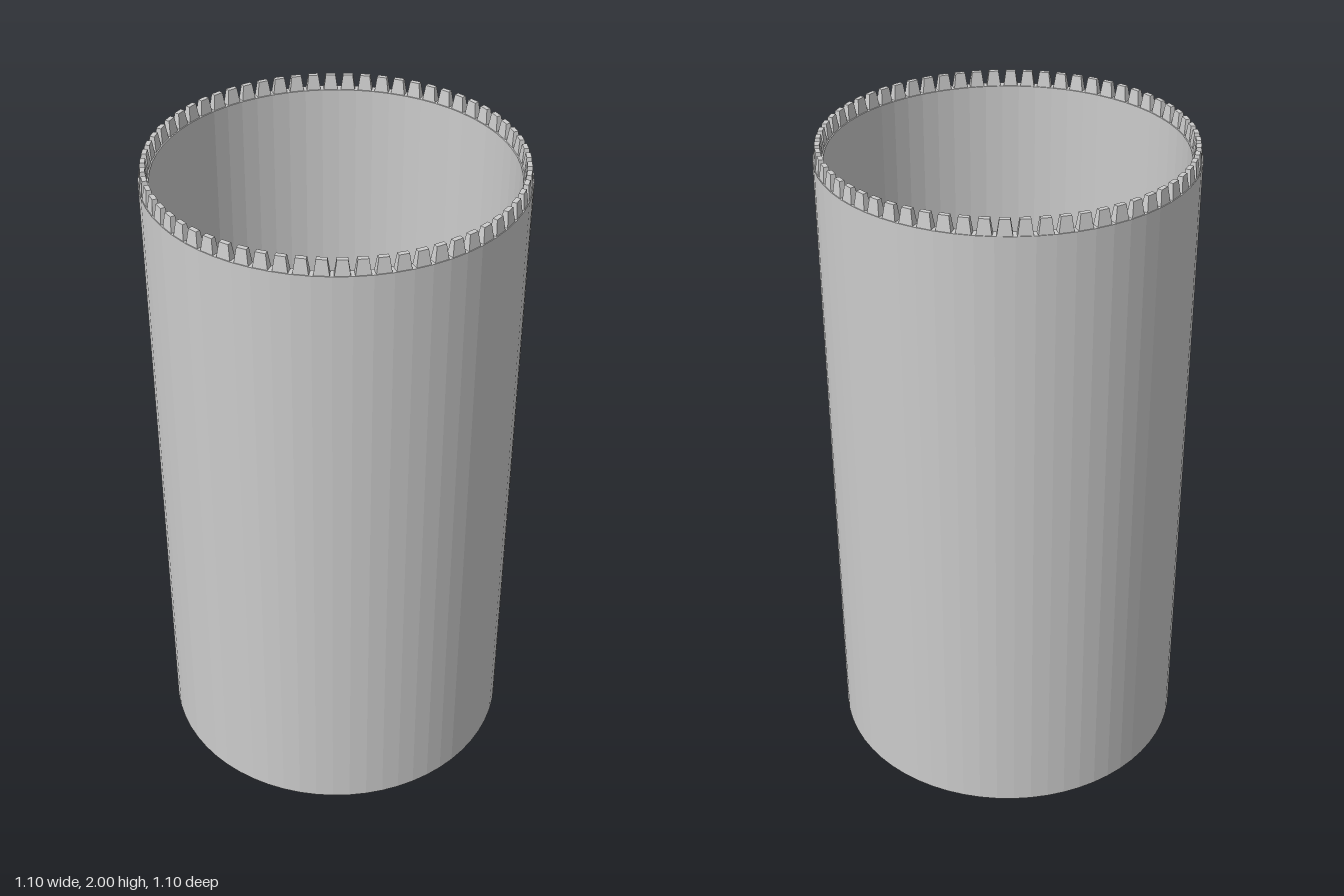
import * as THREE from 'three';

const SIDES = 64;
const OUTER = 0.548, INNER = 0.518, FLOOR = 0.03, RIM = 1.955, TOP = 2;

// Block whose top face is narrower than its base
function taperedTooth(width, depth, height, topWidth, topDepth) {
  const geo = new THREE.BoxGeometry(width, height, depth);
  const p = geo.attributes.position;
  for (let i = 0; i < p.count; i++) {
    if (p.getY(i) > 0) {
      p.setX(i, Math.sign(p.getX(i)) * topWidth / 2);
      p.setZ(i, Math.sign(p.getZ(i)) * topDepth / 2);
    }
  }
  geo.translate(0, height / 2, 0);
  geo.computeVertexNormals();
  return geo;
}

export function createModel() {
  const model = new THREE.Group();
  const material = new THREE.MeshStandardMaterial({ color: 0xcccccc, flatShading: true });

  // Hollow body: underside, outer wall, flat rim, inner wall, floor
  const profile = [
    [0, 0], [OUTER, 0], [OUTER, RIM], [INNER, RIM], [INNER, FLOOR], [0, FLOOR],
  ].map(([r, y]) => new THREE.Vector2(r, y));
  const body = new THREE.Mesh(new THREE.LatheGeometry(profile, SIDES), material);
  body.name = 'cylinderBody';
  model.add(body);

  // Ring of teeth, one centred on each wall facet
  const teeth = new THREE.Group();
  teeth.name = 'rimTeeth';
  const toothGeo = taperedTooth(0.042, 0.024, TOP - RIM, 0.029, 0.014);
  const radius = (OUTER + INNER) / 2;
  for (let i = 0; i < SIDES; i++) {
    const a = (i + 0.5) / SIDES * Math.PI * 2;
    const tooth = new THREE.Mesh(toothGeo, material);
    tooth.name = 'tooth';
    tooth.position.set(Math.sin(a) * radius, RIM, Math.cos(a) * radius);
    tooth.rotation.y = a;
    teeth.add(tooth);
  }
  model.add(teeth);

  return model;
}
